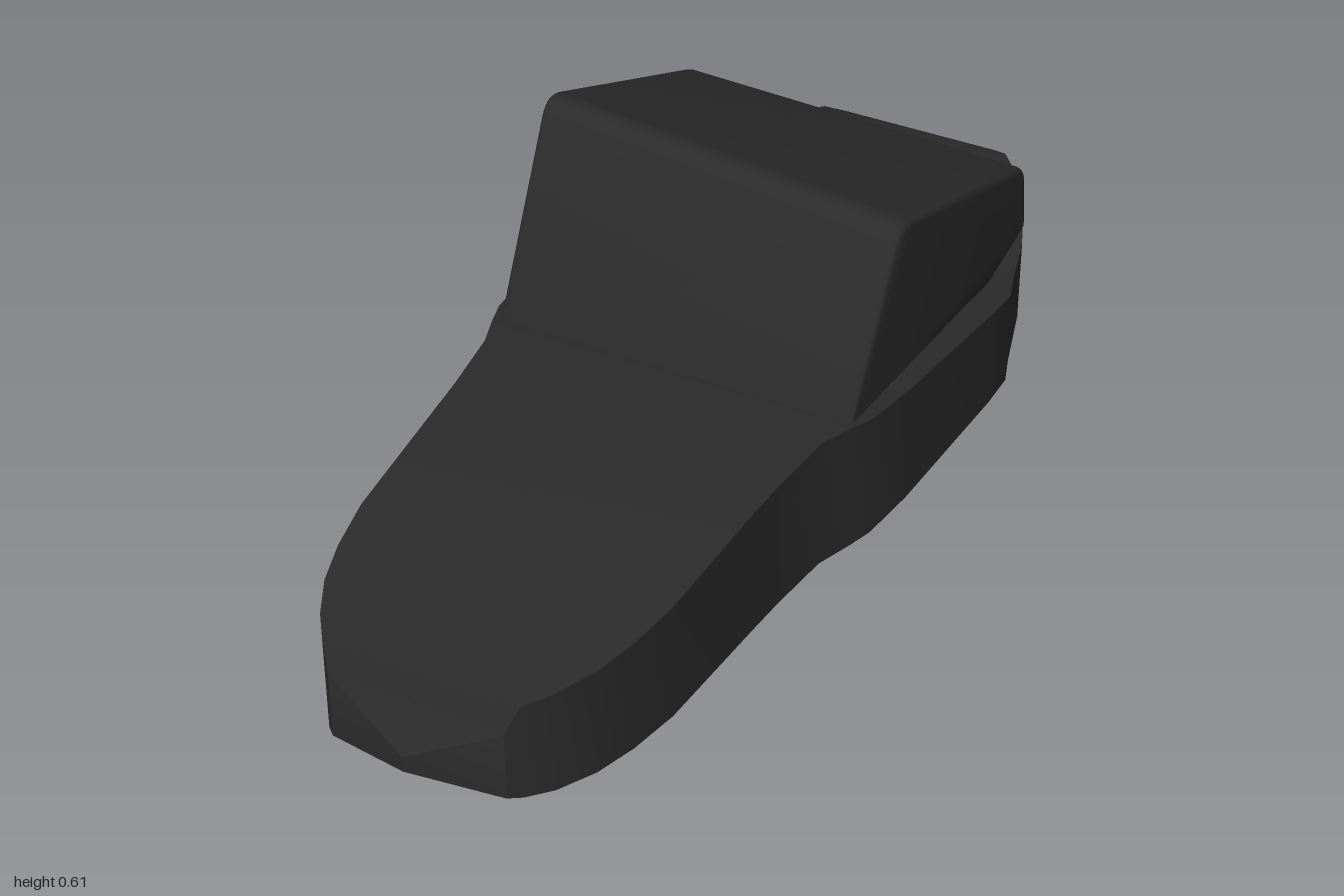
import * as THREE from 'three';
import { toCreasedNormals } from 'three/addons/utils/BufferGeometryUtils.js';

// Sole cross-sections from heel to toe: z, half width, bottom y, top y
const STATIONS = [
  [-1, 0, 0.1, 0.11], [-0.965, 0.16, 0.06, 0.165], [-0.94, 0.195, 0.045, 0.18],
  [-0.87, 0.25, 0.022, 0.185], [-0.78, 0.3, 0.008, 0.175], [-0.68, 0.34, 0.001, 0.166],
  [-0.54, 0.38, 0, 0.18], [-0.48, 0.4, 0, 0.188], [-0.4, 0.4, 0, 0.2],
  [-0.07, 0.382, 0.001, 0.237], [0.05, 0.368, 0.002, 0.249], [0.1, 0.352, 0.002, 0.256],
  [0.17, 0.327, 0.003, 0.262], [0.3, 0.312, 0.004, 0.257], [0.38, 0.306, 0.005, 0.254],
  [0.64, 0.29, 0.01, 0.238], [0.74, 0.272, 0.013, 0.23], [0.82, 0.248, 0.016, 0.224],
  [0.89, 0.212, 0.02, 0.219], [0.935, 0.18, 0.028, 0.215], [0.955, 0.16, 0.034, 0.165],
  [1, 0, 0.06, 0.09],
];

function soleGeometry() {
  const pos = [], index = [];
  for (const [z, w, b, t] of STATIONS) pos.push(-w, b, z, w, b, z, w, t, z, -w, t, z);
  for (let i = 0; i < STATIONS.length - 1; i++) {
    for (let k = 0; k < 4; k++) {
      const a = i * 4 + k, b = i * 4 + (k + 1) % 4;
      index.push(a, b, b + 4, a, b + 4, a + 4);
    }
  }
  const geo = new THREE.BufferGeometry();
  geo.setAttribute('position', new THREE.Float32BufferAttribute(pos, 3));
  geo.setIndex(index);
  return toCreasedNormals(geo, 0.5);
}

// Closed polygon with rounded corners; each point is [z, y, radius]
function roundedShape(points) {
  const shape = new THREE.Shape();
  points.forEach(([x, y, r], i) => {
    const p = new THREE.Vector2(x, y);
    const toward = (q) => new THREE.Vector2(q[0], q[1]).sub(p).setLength(r).add(p);
    const a = toward(points[(i + points.length - 1) % points.length]);
    const b = toward(points[(i + 1) % points.length]);
    if (i === 0) shape.moveTo(a.x, a.y); else shape.lineTo(a.x, a.y);
    shape.quadraticCurveTo(p.x, p.y, b.x, b.y);
  });
  shape.closePath();
  return shape;
}

function strapGeometry() {
  const half = 0.345, bevel = 0.012;
  const shape = roundedShape([
    [0.095, 0.24, 0.01], [-0.095, 0.622, 0.045], [-0.66, 0.378, 0.04],
    [-0.68, 0.207, 0.015], [-0.5, 0.175, 0.02], [0.05, 0.21, 0.01],
  ]);
  const geo = new THREE.ExtrudeGeometry(shape, {
    depth: 2 * (half - bevel), curveSegments: 6, bevelEnabled: true,
    bevelThickness: bevel, bevelSize: bevel, bevelOffset: -bevel, bevelSegments: 3,
  });
  geo.translate(0, 0, bevel - half).rotateY(-Math.PI / 2);
  // The instep falls toward one side
  const p = geo.attributes.position;
  for (let i = 0; i < p.count; i++) {
    const y = p.getY(i), side = (p.getX(i) + half) / (2 * half);
    p.setY(i, y - 0.07 * side * Math.max(0, (y - 0.25) / 0.36));
  }
  return toCreasedNormals(geo, 0.6);
}

export function createModel() {
  const rubber = new THREE.MeshStandardMaterial({ color: 0x2b2b2b });
  rubber.name = 'black rubber';
  const group = new THREE.Group();
  group.name = 'slideSandal';
  const add = (name, geometry) => {
    const mesh = new THREE.Mesh(geometry, rubber);
    mesh.name = name;
    group.add(mesh);
  };
  add('sole', soleGeometry());
  add('strap', strapGeometry());
  return group;
}
